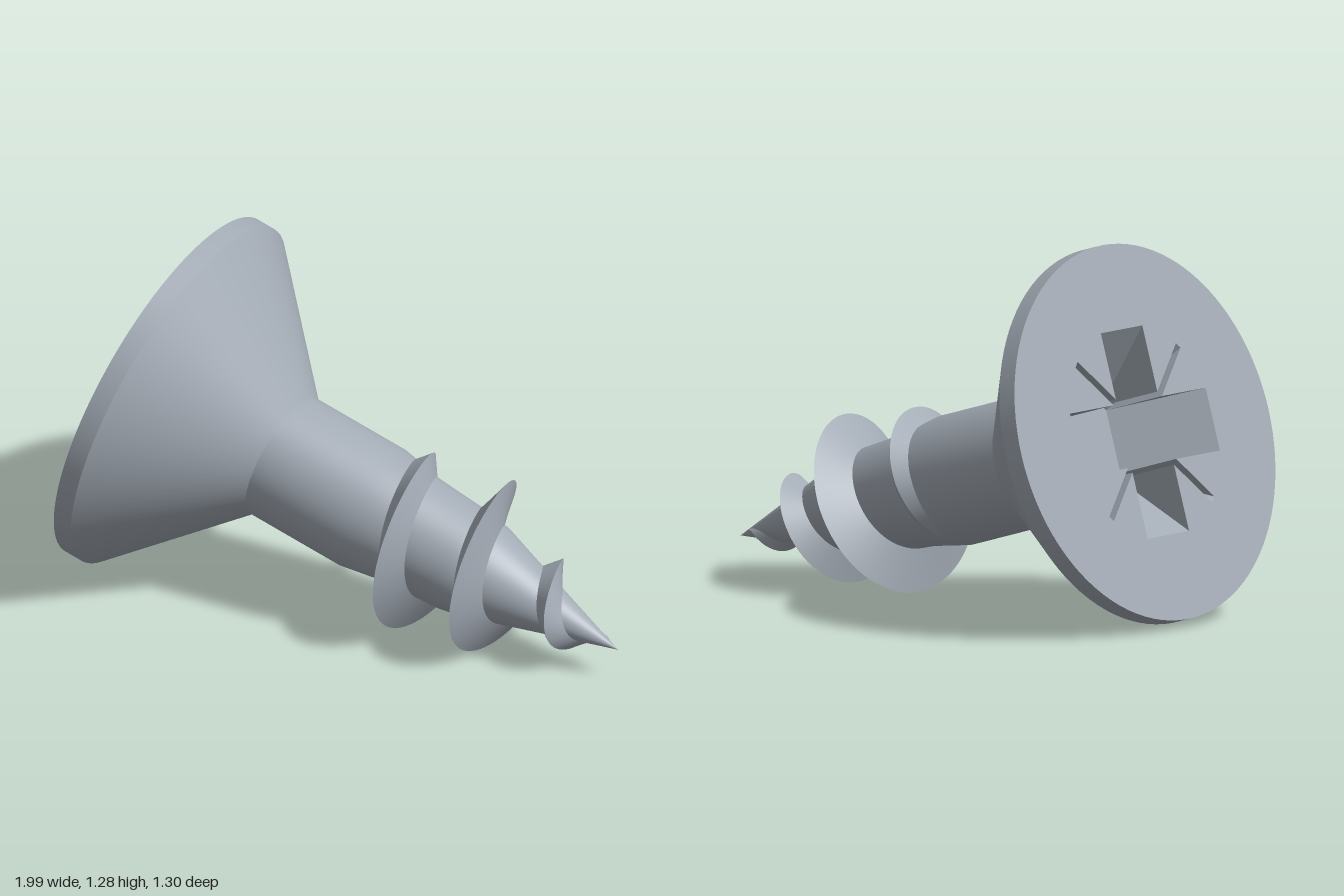
import * as THREE from 'three';

const TAU = Math.PI * 2;
const HEAD_R = 0.655;

// radius of the shank along the axis: [distance from head face, radius]
const CORE = [[0.5, 0.227], [0.87, 0.227], [1.03, 0.2], [1.25, 0.186], [1.33, 0.172], [1.45, 0.134], [1.884, 0]];
// radius of the thread crest along the axis
const CREST = [[0.83, 0.2], [0.93, 0.258], [1.0, 0.278], [1.07, 0.312], [1.15, 0.34], [1.22, 0.338], [1.29, 0.312],
  [1.38, 0.28], [1.44, 0.248], [1.5, 0.202], [1.586, 0.157], [1.66, 0.118], [1.72, 0.09], [1.8, 0.035], [1.86, 0.005]];

function lookup(table, t) {
  if (t <= table[0][0]) return table[0][1];
  for (let i = 1; i < table.length; i++) {
    const [t0, r0] = table[i - 1], [t1, r1] = table[i];
    if (t <= t1) return r0 + (r1 - r0) * (t - t0) / (t1 - t0);
  }
  return table[table.length - 1][1];
}

// surface of revolution around the x axis
function turned(profile) {
  const points = profile.map(([t, r]) => new THREE.Vector2(r, t));
  return new THREE.LatheGeometry(points, 96).rotateZ(-Math.PI / 2);
}

// outline of the drive recess: four arms and four thin diagonal slots, [u, v, depth]
function recessOutline() {
  const arm = 0.36, w = 0.11, slot = 0.27, e = 0.009, depth = 0.26;
  const quarter = [[arm, -w, 0], [arm, w, 0], [w + 2 * e, w, depth],
    [slot + e, slot - e, 0], [slot - e, slot + e, 0], [w, w + 2 * e, depth]];
  const out = [];
  for (let q = 0; q < 4; q++) {
    const c = [1, 0, -1, 0][q], s = [0, 1, 0, -1][q];
    for (const [u, v, h] of quarter) out.push([u * c - v * s, u * s + v * c, h]);
  }
  return out;
}

// flat head face with the recess cut out
function faceGeometry(outline) {
  const shape = new THREE.Shape().absarc(0, 0, HEAD_R, 0, TAU, false);
  shape.holes.push(new THREE.Path(outline.map(([u, v]) => new THREE.Vector2(v, u))));
  return new THREE.ShapeGeometry(shape, 48).rotateY(-Math.PI / 2);
}

// walls and sloping floors of the recess
function recessGeometry(outline) {
  const n = outline.length, pos = [];
  const top = i => [0, outline[i % n][0], outline[i % n][1]];
  const deep = i => [outline[i % n][2], outline[i % n][0], outline[i % n][1]];
  const tri = (a, b, c) => pos.push(...a, ...b, ...c);
  for (let i = 0; i < n; i++) {
    const a = outline[i][2], b = outline[(i + 1) % n][2];
    if (a > 0) tri(top(i), top(i + 1), deep(i));
    else if (b > 0) tri(top(i), top(i + 1), deep(i + 1));
  }
  for (let i = 2; i < n; i += 3) {
    // floor of the arm or slot between two deep corners, then the centre
    tri(deep(i), deep(i + 2), deep(i + 1));
    tri(deep(i), deep(i + 3), deep(i + 2));
    tri([outline[i][2], 0, 0], deep(i + 3), deep(i));
  }
  const g = new THREE.BufferGeometry();
  g.setAttribute('position', new THREE.Float32BufferAttribute(pos, 3));
  g.computeVertexNormals();
  return g;
}

// helical ridge: head-side flank and tip-side flank meeting in a sharp crest
function threadGeometry() {
  const start = 0.84, end = 1.86, pitch = 0.292, topAt = 0.997, steps = 340;
  const pos = [], index = [];
  for (let i = 0; i <= steps; i++) {
    const t = start + (end - start) * i / steps;
    const a = TAU * (t - topAt) / pitch;
    const half = Math.min(0.053, (1.884 - t) * 0.6);
    const add = (x, r) => pos.push(x, r * Math.cos(a), r * Math.sin(a));
    const root = x => Math.max(0, lookup(CORE, x) - 0.006);
    add(t - half, root(t - half));
    add(t, lookup(CREST, t));
    add(t, lookup(CREST, t));
    add(t + half, root(t + half));
    if (i < steps) {
      for (const k of [0, 2]) {
        const p = i * 4 + k, q = p + 4;
        index.push(p, q, p + 1, q, q + 1, p + 1);
      }
    }
  }
  const g = new THREE.BufferGeometry();
  g.setAttribute('position', new THREE.Float32BufferAttribute(pos, 3));
  g.setIndex(index);
  g.computeVertexNormals();
  return g;
}

export function createModel() {
  const steel = new THREE.MeshStandardMaterial({ color: 0xa3abb5, side: THREE.DoubleSide });
  steel.name = 'steel';
  const group = new THREE.Group();
  group.name = 'screw';
  const add = (name, geometry) => {
    const mesh = new THREE.Mesh(geometry, steel);
    mesh.name = name;
    group.add(mesh);
  };

  const outline = recessOutline();
  add('headFace', faceGeometry(outline));
  add('driveRecess', recessGeometry(outline));
  add('headRim', turned([[0, HEAD_R], [0.07, HEAD_R]]));
  add('headCone', turned([[0.07, HEAD_R], [0.5, 0.227]]));
  add('shank', turned(CORE));
  add('thread', threadGeometry());

  // lay the screw along its tilted axis, from head centre to tip
  const axis = new THREE.Vector3(0.938, -0.29, 0.192).normalize();
  const front = new THREE.Vector3().crossVectors(axis, new THREE.Vector3(0, 1, 0)).normalize();
  const up = new THREE.Vector3().crossVectors(front, axis);
  group.quaternion.setFromRotationMatrix(new THREE.Matrix4().makeBasis(axis, up, front));
  group.position.set(-0.773, 0.665, 0);
  return group;
}
